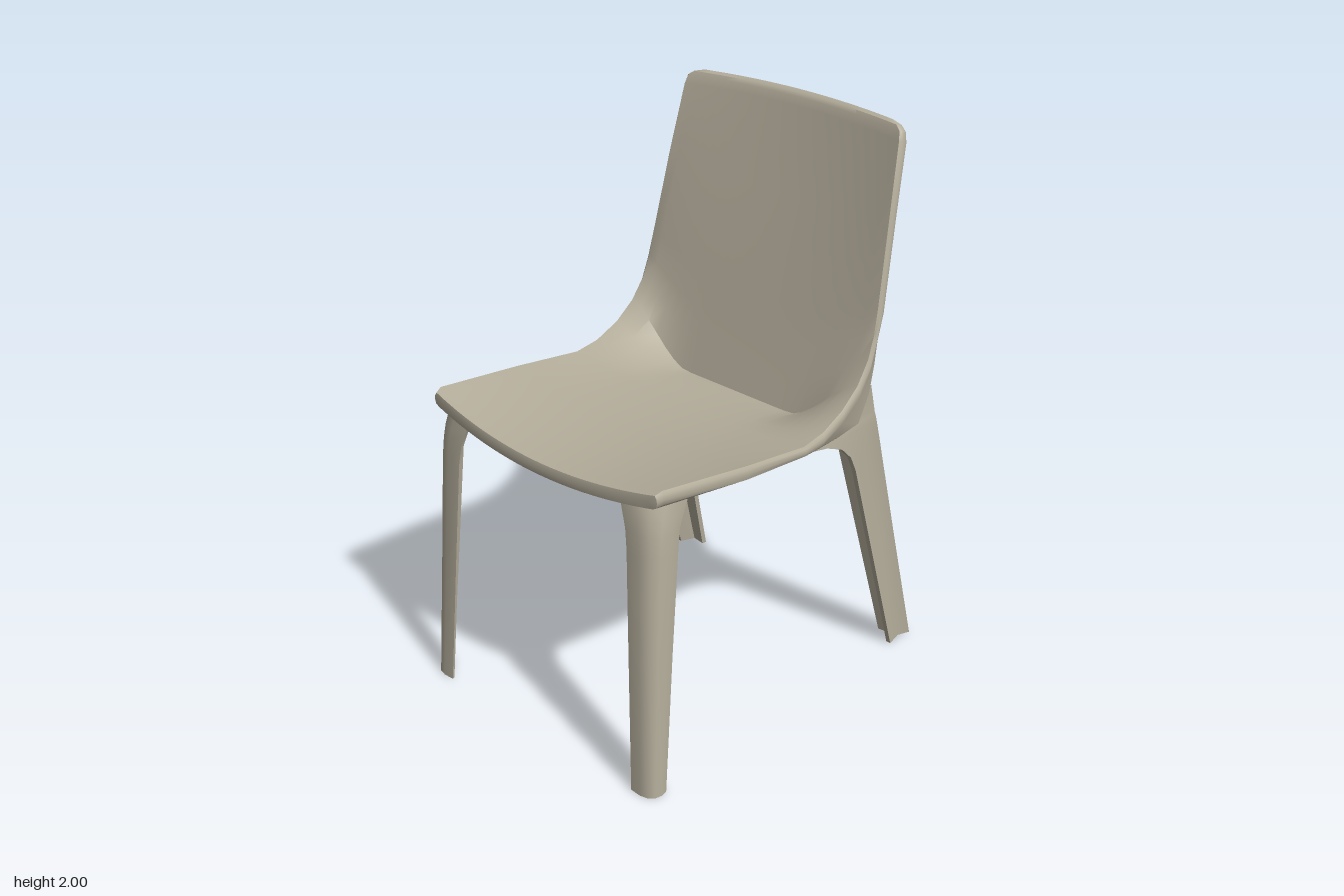
import * as THREE from 'three';
import { toCreasedNormals } from 'three/addons/utils/BufferGeometryUtils.js';

const shellMat = new THREE.MeshStandardMaterial({ color: 0xb5ae9c });
shellMat.name = 'warm grey plastic';

const lerp = THREE.MathUtils.lerp;

// Skin closed loops of [x, y, z] points; cap = loop index the end fans start from
function loft(loops, cap = -1) {
  const n = loops[0].length, pos = loops.flat(2), idx = [];
  for (let r = 0; r < loops.length - 1; r++) {
    for (let i = 0; i < n; i++) {
      const a = r * n + i, b = r * n + (i + 1) % n;
      idx.push(a, b, b + n, a, b + n, a + n);
    }
  }
  if (cap >= 0) {
    const end = (loops.length - 1) * n;
    for (let i = 1; i < n - 1; i++) {
      const b = (cap + i) % n, c = (cap + i + 1) % n;
      idx.push(cap, c, b, end + cap, end + b, end + c);
    }
  }
  // turn the faces outward by the sign of the enclosed volume
  const p = i => new THREE.Vector3().fromArray(pos, i * 3);
  let volume = 0;
  for (let i = 0; i < idx.length; i += 3) {
    volume += p(idx[i]).dot(p(idx[i + 1]).cross(p(idx[i + 2])));
  }
  if (volume < 0) idx.reverse();
  const g = new THREE.BufferGeometry();
  g.setAttribute('position', new THREE.Float32BufferAttribute(pos, 3));
  g.setIndex(idx);
  return toCreasedNormals(g, 0.65);
}

function part(name, geometry) {
  const m = new THREE.Mesh(geometry, shellMat);
  m.name = name;
  return m;
}

// One-piece seat and back: half width, top edge z y, top centre z y, underside edge z y
const STATIONS = [
  [0.49, 0.64, 1.085, 0.67, 1.035, 0.64, 1.085],
  [0.515, 0.635, 1.11, 0.665, 1.055, 0.635, 1.06],
  [0.522, 0.61, 1.12, 0.64, 1.06, 0.61, 1.06],
  [0.54, 0.25, 1.07, 0.25, 1.02, 0.25, 1.015],
  [0.54, -0.04, 1.03, -0.05, 0.985, -0.04, 0.99],
  [0.538, -0.14, 1.045, -0.13, 0.975, -0.13, 0.985],
  [0.535, -0.24, 1.09, -0.22, 0.965, -0.24, 0.988],
  [0.533, -0.32, 1.155, -0.31, 0.955, -0.345, 1.0],
  [0.53, -0.375, 1.23, -0.34, 1.06, -0.40, 1.09],
  [0.527, -0.405, 1.31, -0.37, 1.17, -0.425, 1.19],
  [0.522, -0.425, 1.40, -0.405, 1.30, -0.455, 1.37],
  [0.50, -0.49, 1.70, -0.50, 1.66, -0.525, 1.69],
  [0.48, -0.545, 1.94, -0.585, 1.95, -0.585, 1.925],
  [0.472, -0.555, 1.97, -0.592, 1.98, -0.588, 1.96],
  [0.45, -0.565, 1.985, -0.60, 1.993, -0.592, 1.978],
  [0.42, -0.585, 1.992, -0.615, 2.0, -0.585, 1.992],
];
const CREASE = 7, STEPS = 24;

function shellLoop([w, tz, ty, cz, cy, bz, by], i) {
  const tip = i === 0 || i === STATIONS.length - 1;
  const [dz, dy] = tip ? [0, 0] : i < CREASE ? [0, -0.045] : i === CREASE ? [-0.025, -0.05] : [-0.03, -0.008];
  const corner = Math.max(0, 1 - Math.abs(i - CREASE) * 0.3);
  // dish across the width: gentle curve, turning into a flat with upswept corners at the crease
  const rise = u => lerp(u * u, THREE.MathUtils.smoothstep(Math.abs(u), 0.45, 1.05), corner);
  const top = [], under = [];
  for (let k = 0; k <= STEPS; k++) {
    const u = k / STEPS * 2 - 1, f = rise(u);
    top.push([u * w, lerp(cy, ty, f), lerp(cz, tz, f)]);
    const wu = tip ? w : w - 0.008;
    under.push([u * wu, lerp(cy + dy, by, f), lerp(cz + dz, bz, f)]);
  }
  // rounded bead down each side edge
  const bead = (a, b, s) => {
    const d = Math.hypot(b[1] - a[1], b[2] - a[2]);
    return [[0.2, 0.007], [0.5, 0.01], [0.85, 0.005]].map(([t, out]) => {
      const v = d > 0 ? Math.min(t, t * 0.055 / d) : 0;
      return [a[0] + (d > 0 ? s * out : 0), lerp(a[1], b[1], v), lerp(a[2], b[2], v)];
    });
  };
  return [...top, ...bead(top[STEPS], under[STEPS], 1), ...under.slice().reverse(),
    ...bead(top[0], under[0], -1).reverse()];
}

// Stiffening pan under the seat: z, half width, centre y, edge y, depth
function panLoop([z, w, yc, ye, depth]) {
  const low = [], high = [];
  for (let k = 0; k <= 12; k++) {
    const u = k / 6 - 1, y = lerp(yc, ye, u * u);
    low.push([u * w, y, z]);
    high.push([u * w, y + depth, z]);
  }
  return [...low, ...high.reverse()];
}

// Front leg: a curved blade wrapped round the corner
function frontLeg(s) {
  // y, outer x, inner x, rear z, front z
  const rows = [
    [0, 0.55, 0.455, 0.62, 0.695],
    [0.5, 0.535, 0.425, 0.573, 0.67],
    [0.88, 0.527, 0.402, 0.537, 0.65],
    [0.95, 0.524, 0.392, 0.527, 0.645],
    [1.0, 0.522, 0.375, 0.505, 0.64],
    [1.06, 0.515, 0.35, 0.47, 0.63],
  ];
  return loft(rows.map(([y, xo, xi, zr, zf]) => {
    const w = xo - xi, d = zf - zr;
    return [[0.95, 0], [1, 0.35], [0.94, 0.68], [0.76, 0.9], [0.45, 1], [0, 0.97], [0.03, 0.84],
      [0.45, 0.72], [0.72, 0.4], [0.82, 0.02]].map(([a, b]) => [s * (xi + a * w), y, zr + b * d]);
  }), 7);
}

// Back leg: a flat rear plate with a grooved side web that sweeps up under the seat
function backLeg(s) {
  // y, outer x, inner x, rear z, inner z, front z
  const rows = [
    [0, 0.55, 0.45, -0.69, -0.645, -0.58],
    [0.45, 0.54, 0.42, -0.575, -0.525, -0.448],
    [0.82, 0.533, 0.392, -0.481, -0.43, -0.338],
    [0.88, 0.532, 0.378, -0.466, -0.41, -0.31],
    [0.93, 0.531, 0.35, -0.453, -0.39, -0.26],
    [0.965, 0.53, 0.31, -0.444, -0.375, -0.18],
    [0.99, 0.529, 0.28, -0.438, -0.37, -0.06],
    [1.01, 0.526, 0.30, -0.433, -0.375, -0.15],
    [1.12, 0.522, 0.44, -0.41, -0.395, -0.36],
  ];
  return loft(rows.map(([y, xo, xi, zb, zi, zf]) => {
    const zm = zb + 0.055;
    return [[xo, zb], [xi, zi], [xi + 0.003, zi + 0.018], [xo - 0.045, zm], [xo - 0.022, zf], [xo - 0.004, zf],
      [xo - 0.018, zm - 0.008]].map(([x, z]) => [s * x, y, z]);
  }), 3);
}

export function createModel() {
  const chair = new THREE.Group();
  chair.name = 'chair';
  chair.add(part('seatAndBackShell', loft(STATIONS.map(shellLoop))));
  chair.add(part('underseatPan', loft([
    [0.505, 0.37, 1.01, 1.03, 0],
    [0.50, 0.38, 0.985, 1.01, 0.035],
    [0.1, 0.39, 0.94, 0.975, 0.035],
    [-0.26, 0.36, 0.897, 0.945, 0.035],
    [-0.31, 0.33, 0.915, 0.955, 0],
  ].map(panLoop))));
  for (const [side, s] of [['left', 1], ['right', -1]]) {
    chair.add(part(side + 'FrontLeg', frontLeg(s)));
    chair.add(part(side + 'BackLeg', backLeg(s)));
  }
  return chair;
}
